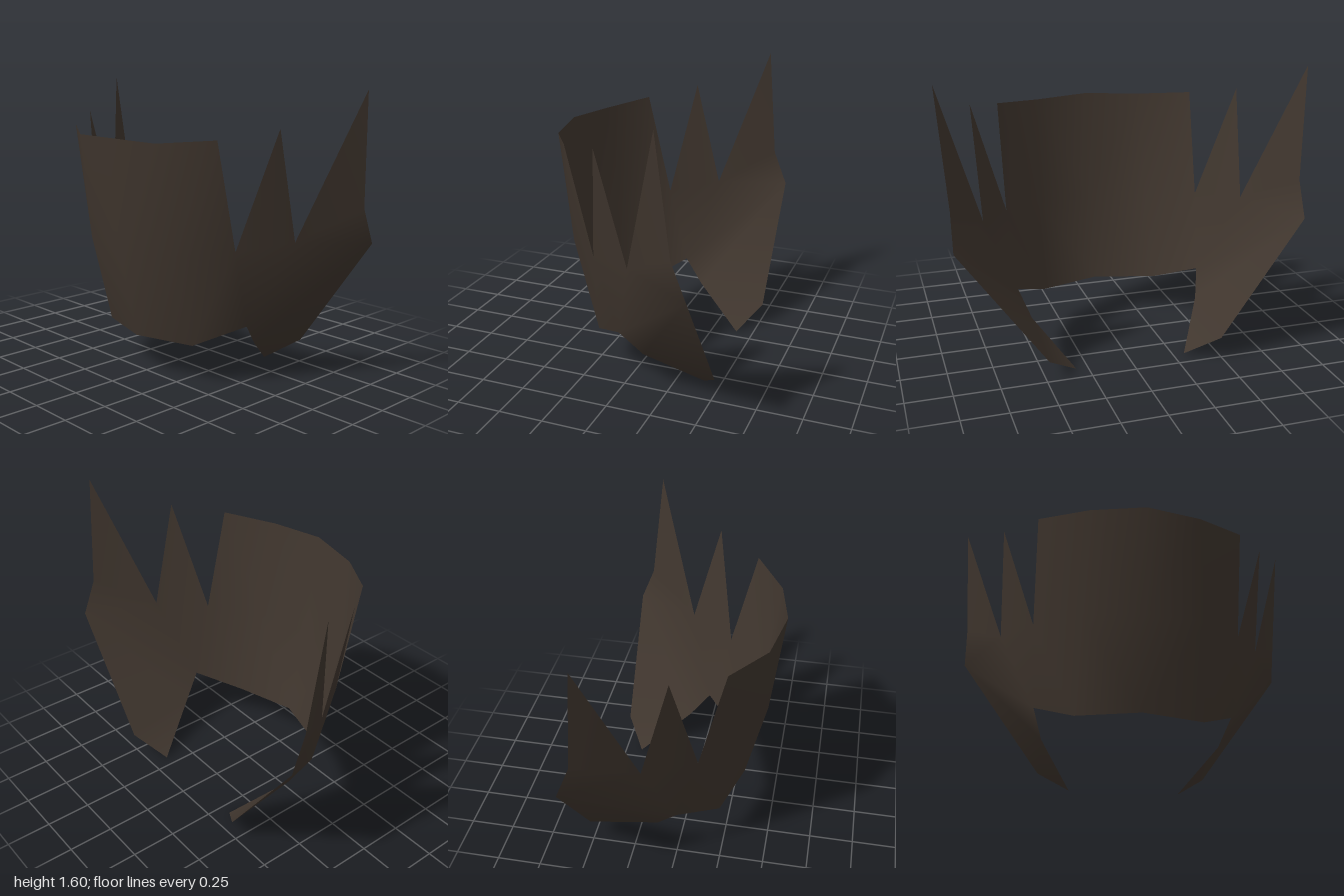
import * as THREE from 'three';
import { mergeVertices } from 'three/addons/utils/BufferGeometryUtils.js';

// Key points of the left half
const P = {
  topMid: [0, 1.345, 0.51], topSide: [0.31, 1.335, 0.45], topCorner: [0.58, 1.36, 0.28],
  waistMid: [0, 0.73, 0.437], waistSide: [0.335, 0.74, 0.365], notchFront: [0.575, 0.77, 0.135],
  hemMid: [0, 0.225, 0.32], hemSide: [0.345, 0.225, 0.22], hemCorner: [0.547, 0.335, 0.01],
  spikeFront: [0.77, 1.415, 0.03], notchBack: [0.75, 0.81, -0.13], spikeBack: [1, 1.6, -0.37],
  backUpper: [0.957, 0.98, -0.435], backMid: [0.96, 0.78, -0.515], backLower: [0.49, 0.125, -0.515],
  lowTip: [0.315, 0, -0.4], lowEdge: [0.495, 0.2, -0.11],
};

// Faces, counter-clockwise from outside
const FACES = [
  // curved front plate
  ['waistMid', 'waistSide', 'topSide', 'topMid'],
  ['waistSide', 'notchFront', 'topCorner', 'topSide'],
  ['hemMid', 'hemSide', 'waistSide', 'waistMid'],
  ['hemSide', 'hemCorner', 'notchFront', 'waistSide'],
  // two spikes
  ['notchFront', 'notchBack', 'spikeFront'],
  ['notchBack', 'backUpper', 'spikeBack'],
  // side wing, curling inwards to its low tip
  ['notchBack', 'backMid', 'backUpper'],
  ['hemCorner', 'notchBack', 'notchFront'],
  ['hemCorner', 'backMid', 'notchBack'],
  ['hemCorner', 'lowEdge', 'backMid'],
  ['lowEdge', 'backLower', 'backMid'],
  ['lowEdge', 'lowTip', 'backLower'],
];

export function createModel() {
  const group = new THREE.Group();
  group.name = 'spikedCollar';
  const darkBrown = new THREE.MeshStandardMaterial({ color: 0x40362e, side: THREE.DoubleSide });
  darkBrown.name = 'dark brown';

  const positions = [];
  for (const side of [1, -1]) {
    for (const face of FACES) {
      for (let i = 1; i < face.length - 1; i++) {
        const tri = [face[0], face[i], face[i + 1]];
        if (side < 0) tri.reverse(); // keep the outside facing out when mirrored
        for (const name of tri) {
          const [x, y, z] = P[name];
          positions.push(x === 0 ? 0 : x * side, y, z);
        }
      }
    }
  }

  // Weld shared points for smooth shading
  let geometry = new THREE.BufferGeometry();
  geometry.setAttribute('position', new THREE.Float32BufferAttribute(positions, 3));
  geometry = mergeVertices(geometry);
  geometry.computeVertexNormals();

  const shell = new THREE.Mesh(geometry, darkBrown);
  shell.name = 'collarShell';
  group.add(shell);
  return group;
}
